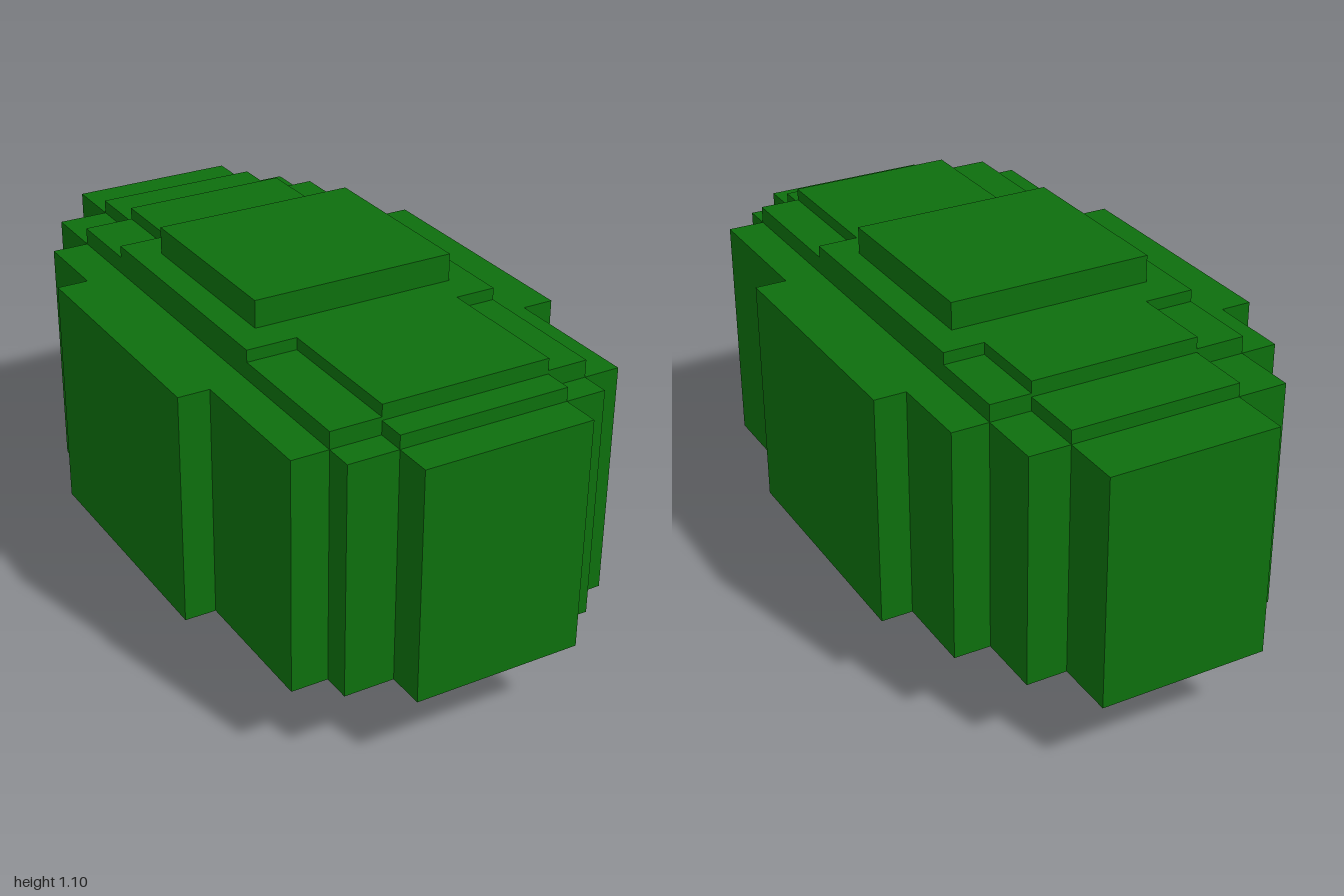
import * as THREE from 'three';

// Stepped outline from nested rectangles [x0, x1, z0, z1], ordered narrow/long to wide/short
function steppedShape(rects) {
  const pts = [];
  const add = (x, z) => pts.push(new THREE.Vector2(x, -z));
  const last = rects.length - 1;
  const outward = (xi, zi) => {
    for (let i = 0; i <= last; i++) {
      add(rects[i][xi], rects[i][zi]);
      if (i < last) add(rects[i][xi], rects[i + 1][zi]);
    }
  };
  const inward = (xi, zi) => {
    for (let i = last; i >= 0; i--) {
      add(rects[i][xi], rects[i][zi]);
      if (i > 0) add(rects[i - 1][xi], rects[i][zi]);
    }
  };
  outward(1, 2); // back, +x side
  inward(1, 3);  // front, +x side
  outward(0, 3); // front, -x side
  inward(0, 2);  // back, -x side
  return new THREE.Shape(pts);
}

export function createModel() {
  const group = new THREE.Group();
  const leaf = new THREE.MeshStandardMaterial({ color: 0x0d6e0d, flatShading: true });
  const bark = new THREE.MeshStandardMaterial({ color: 0x653e2a, flatShading: true });

  function layer(name, material, y0, y1, rects) {
    const geometry = new THREE.ExtrudeGeometry(steppedShape(rects), { depth: y1 - y0, bevelEnabled: false });
    geometry.rotateX(-Math.PI / 2);
    const mesh = new THREE.Mesh(geometry, material);
    mesh.name = name;
    mesh.position.y = y0;
    group.add(mesh);
  }

  // Square trunk
  layer('trunk', bark, 0, 0.247, [[-0.123, 0.123, -0.123, 0.123]]);

  // Main block of foliage with stepped ends
  layer('foliageBody', leaf, 0.247, 0.93, [
    [-0.237, 0.262, -1, 1],
    [-0.385, 0.382, -0.822, 0.887],
    [-0.493, 0.49, -0.628, 0.803],
    [-0.585, 0.583, -0.384, 0.382],
  ]);

  // Thin stepped tiers on top
  layer('foliageLowerTier', leaf, 0.93, 0.97, [
    [-0.237, 0.262, -0.822, 0.887],
    [-0.385, 0.382, -0.628, 0.803],
  ]);
  layer('foliageMiddleTier', leaf, 0.97, 0.98, [[-0.385, 0.382, -0.628, 0.803]]);
  layer('foliageUpperTier', leaf, 0.98, 1.015, [
    [-0.237, 0.262, -0.628, 0.803],
    [-0.385, 0.382, -0.384, 0.382],
  ]);
  layer('foliageCap', leaf, 1.015, 1.095, [[-0.305, 0.303, -0.28, 0.28]]);

  return group;
}
